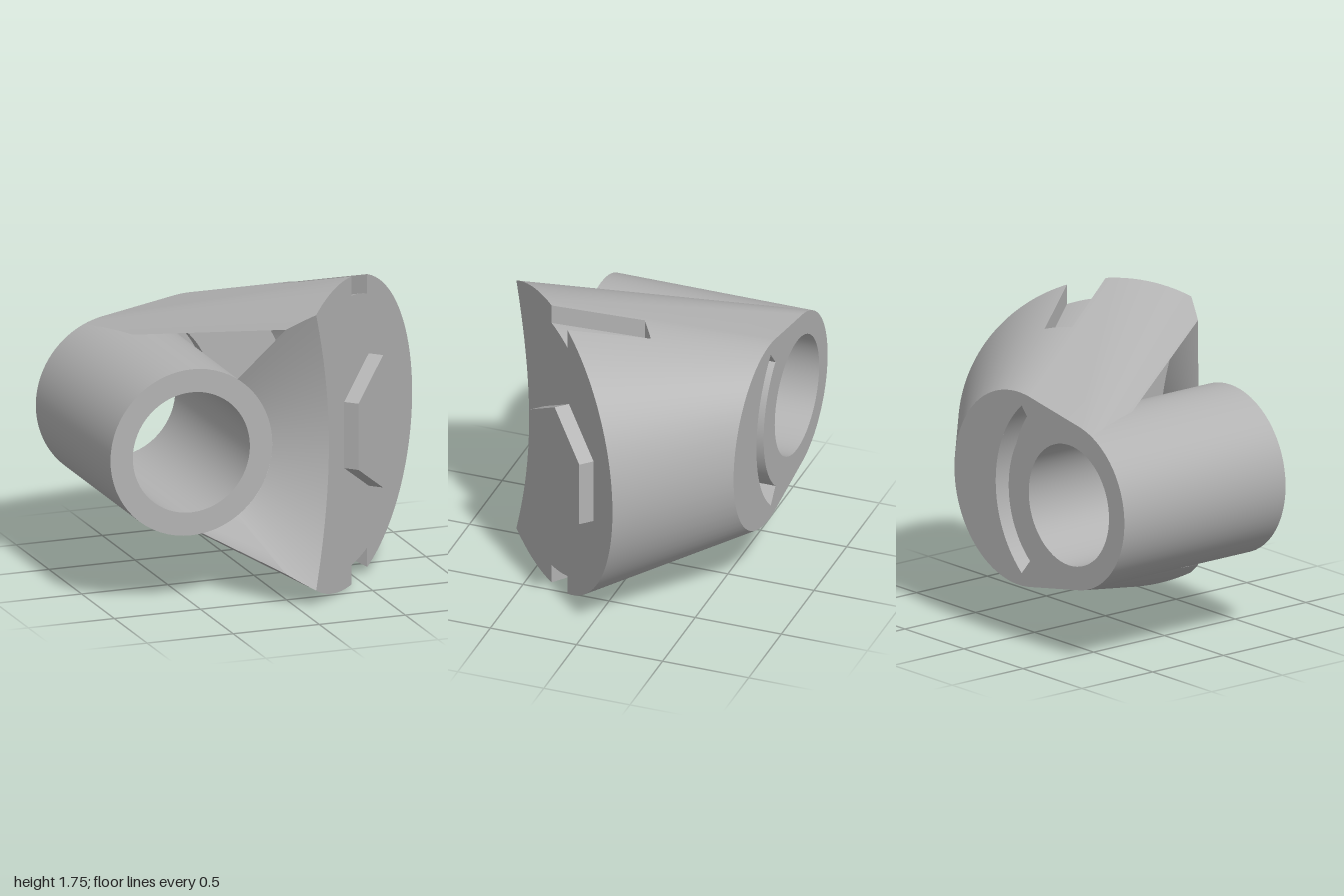
import * as THREE from 'three';
import { toCreasedNormals } from 'three/addons/utils/BufferGeometryUtils.js';

const CY = 0.875;                                   // height of the symmetry plane
const TUBE = { x: -0.53, r: 0.47, bore: 0.34, back: -0.7, front: 0.44 };
const DISK = { x: 0.38, z: 0.41, r: 0.875 };
const NOTCH = { u0: 0.07, u1: 0.28, depth: 0.11, s: 0.58 };
const H = Math.SQRT1_2;
const V = (x, y, z) => new THREE.Vector3(x, y, z);

// Point on the slanted disk: u runs sideways, v up, w out of the face
const onDisk = (u, v, w = 0) => V(DISK.x + (u + w) * H, CY + v, DISK.z + (w - u) * H);
const tubeDist = p => Math.hypot(p.x - TUBE.x, p.y - CY);
// Positive in front of the conical relief around the tube mouth
const relief = p => p.z - TUBE.front - 0.47 * (Math.max(tubeDist(p), TUBE.r) - TUBE.r);
const removed = p => relief(p) > 0 || tubeDist(p) < 0.455;

// Last kept point going from a to b
function clip(a, b) {
  let lo = 0, hi = 1;
  for (let i = 1; i <= 60; i++) {
    if (removed(a.clone().lerp(b, i / 60))) { lo = (i - 1) / 60; hi = i / 60; break; }
    if (i === 60) return b.clone();
  }
  for (let i = 0; i < 25; i++) {
    const m = (lo + hi) / 2;
    if (removed(a.clone().lerp(b, m))) hi = m; else lo = m;
  }
  return a.clone().lerp(b, lo);
}

// Quads as corner lists -> geometry, with the copy mirrored in height if wanted
function quads(list, mirrored = true) {
  const pos = [];
  const put = p => pos.push(p.x, p.y, p.z);
  const putMirror = p => pos.push(p.x, 2 * CY - p.y, p.z);
  for (const [a, b, c, d] of list) {
    [a, b, c, a, c, d].forEach(put);
    if (mirrored) [a, c, b, a, d, c].forEach(putMirror);
  }
  const g = new THREE.BufferGeometry();
  g.setAttribute('position', new THREE.Float32BufferAttribute(pos, 3));
  return toCreasedNormals(g, 0.5);
}

// Upper outline of the egg-shaped back face: two arcs joined by a tangent
function eggOutline() {
  const big = { x: -0.105, r: 0.545 };
  const t = Math.acos((TUBE.r - big.r) / (big.x - TUBE.x));
  const pts = [];
  const arc = (c, a0, a1) => {
    for (let i = 0; i <= 60; i++) {
      const a = a0 + (a1 - a0) * i / 60;
      pts.push(V(c.x + c.r * Math.cos(a), CY + c.r * Math.sin(a), TUBE.back));
    }
  };
  arc(big, 0, t);
  arc(TUBE, t, Math.PI);
  return pts;
}

export function createModel() {
  const group = new THREE.Group();
  const grey = new THREE.MeshStandardMaterial({ color: 0xb2b2b2, side: THREE.DoubleSide });
  grey.name = 'plain grey';
  const add = (name, geometry) => {
    const m = new THREE.Mesh(geometry, grey);
    m.name = name;
    group.add(m);
    return m;
  };

  const egg = eggOutline();
  const rim = t => onDisk(DISK.r * Math.cos(t), DISK.r * Math.sin(t));
  // Outermost egg point seen from the rim, so the side is a taut skin
  const backPoint = t => {
    const D = rim(t), out = V(H * Math.cos(t), Math.sin(t), -H * Math.cos(t));
    let best = null, top = -Infinity;
    for (const p of egg) {
      const v = p.clone().sub(D);
      const k = v.dot(out) / (-(v.x + v.z) * H);
      if (k > top) { top = k; best = p; }
    }
    return best;
  };

  // Rim angle where the relief cuts the disk
  let lo = 0.5, hi = Math.PI;
  for (let i = 0; i < 40; i++) {
    const m = (lo + hi) / 2;
    if (relief(rim(m)) > 0) hi = m; else lo = m;
  }
  const tCut = lo;
  const tN1 = Math.acos(NOTCH.u1 / DISK.r), tN0 = Math.acos(NOTCH.u0 / DISK.r);
  const angles = [tN1, tN0, tCut];
  for (let i = 0; i <= 90; i++) angles.push(Math.PI * i / 90);
  angles.sort((a, b) => a - b);

  // Tapered body skin, leaving the notches open
  const ROWS = 6;
  const skin = [], notch = [], cutEdge = [];
  const down = p => p.clone().setY(p.y - NOTCH.depth);
  let prev = null;
  for (const t of angles) {
    const a = backPoint(t), D = rim(t);
    const end = t <= tCut ? D : clip(a, D);
    const cur = { t, a, end, mid: a.clone().lerp(end, NOTCH.s) };
    if (t >= tCut && tubeDist(end) > TUBE.r) cutEdge.push(end);
    if (prev) {
      const inNotch = prev.t >= tN1 - 1e-6 && t <= tN0 + 1e-6;
      const e0 = inNotch ? prev.mid : prev.end, e1 = inNotch ? cur.mid : end;
      for (let j = 0; j < ROWS; j++) {
        const at = (p, q, k) => p.clone().lerp(q, k / ROWS);
        skin.push([at(prev.a, e0, j), at(prev.a, e0, j + 1), at(a, e1, j + 1), at(a, e1, j)]);
      }
      if (inNotch) {
        notch.push([down(prev.mid), down(prev.end), down(end), down(cur.mid)]);   // floor
        notch.push([prev.mid, down(prev.mid), down(cur.mid), cur.mid]);           // end wall
      }
    }
    if (t === tN0 || t === tN1) notch.push([cur.mid, end, down(end), down(cur.mid)]); // side wall
    prev = cur;
  }
  add('bodySkin', quads(skin));
  add('notches', quads(notch));

  // Curved edge where the relief meets the disk face, from rim to mid height
  const edge = [];
  const vTop = DISK.r * Math.sin(tCut);
  for (let i = 0; i <= 20; i++) {
    const v = vTop * (1 - i / 20);
    let l = -0.87, h = 0.6;
    for (let k = 0; k < 40; k++) {
      const m = (l + h) / 2;
      if (relief(onDisk(m, v)) > 0) l = m; else h = m;
    }
    edge.push(new THREE.Vector2(h, v));
  }

  // Conical relief running from the tube mouth out to the body edges
  const boundary = cutEdge.reverse().concat();
  const outer = boundary.reverse().length ? cutEdge.slice().sort((p, q) => tubeDist(p) - tubeDist(q)) : [];
  const line = outer.concat(edge.map(p => onDisk(p.x, p.y)));
  const toMouth = p => {
    const k = TUBE.r / tubeDist(p);
    return V(TUBE.x + (p.x - TUBE.x) * k, CY + (p.y - CY) * k, TUBE.front);
  };
  const cone = [];
  for (let i = 1; i < line.length; i++) {
    cone.push([toMouth(line[i - 1]), toMouth(line[i]), line[i], line[i - 1]]);
  }
  add('mouthRelief', quads(cone));

  // Slanted disk face with both notches
  const half = [];
  for (const t of angles) {
    if (t > tCut) break;
    const u = DISK.r * Math.cos(t), v = DISK.r * Math.sin(t);
    const p = new THREE.Vector2(u, v), q = new THREE.Vector2(u, v - NOTCH.depth);
    if (t === tN1) half.push(p, q);
    else if (t === tN0) half.push(q, p);
    else half.push(t > tN1 && t < tN0 ? q : p);
  }
  half.push(...edge.slice(1));
  const lower = half.slice(1, -1).reverse().map(p => new THREE.Vector2(p.x, -p.y));
  const face = add('diskFace', new THREE.ShapeGeometry(new THREE.Shape(half.concat(lower))));
  face.position.copy(onDisk(0, 0));
  face.rotation.y = Math.PI / 4;

  // Hexagonal boss on the disk
  const boss = new THREE.CylinderGeometry(0.375, 0.375, 0.105, 6).rotateY(Math.PI / 6);
  boss.rotateX(Math.PI / 2);
  boss.rotateZ(Math.PI / 6 * (Math.abs(boss.attributes.position.getX(0)) > 0.37 ? 0 : 1));
  const hex = add('hexBoss', toCreasedNormals(boss, 0.3));
  hex.position.copy(onDisk(0.3, 0, 0.033));
  hex.rotation.y = Math.PI / 4;

  // Tube with its open bore
  const ring = new THREE.Shape().absarc(TUBE.x, CY, TUBE.r, 0, Math.PI * 2);
  const bore = new THREE.Path().absarc(TUBE.x, CY, TUBE.bore, 0, Math.PI * 2, true);
  ring.holes.push(bore);
  const tube = new THREE.ExtrudeGeometry(ring, { depth: TUBE.front - TUBE.back, bevelEnabled: false, curveSegments: 32 });
  add('tube', toCreasedNormals(tube.translate(0, 0, TUBE.back), 0.5));

  // Back face with bore and curved slot
  const slotPath = () => {
    const s = new THREE.Shape();
    s.absarc(TUBE.x, CY, 0.62, -0.87, 0.87, false);
    s.absarc(TUBE.x, CY, 0.51, 0.87, -0.87, true);
    return s;
  };
  const top = egg.map(p => new THREE.Vector2(p.x, p.y));
  const bottom = top.slice(1, -1).reverse().map(p => new THREE.Vector2(p.x, 2 * CY - p.y));
  const back = new THREE.Shape(top.concat(bottom));
  back.holes.push(bore, slotPath());
  add('backFace', new THREE.ShapeGeometry(back, 32)).position.z = TUBE.back;

  // Slot walls and floor
  const slotPts = slotPath().getPoints(20);
  const walls = slotPts.map((p, i) => {
    const q = slotPts[(i + 1) % slotPts.length], z0 = TUBE.back, z1 = z0 + 0.12;
    return [V(p.x, p.y, z0), V(q.x, q.y, z0), V(q.x, q.y, z1), V(p.x, p.y, z1)];
  });
  add('slotWalls', quads(walls, false));
  add('slotFloor', new THREE.ShapeGeometry(slotPath(), 20)).position.z = TUBE.back + 0.12;

  return group;
}
